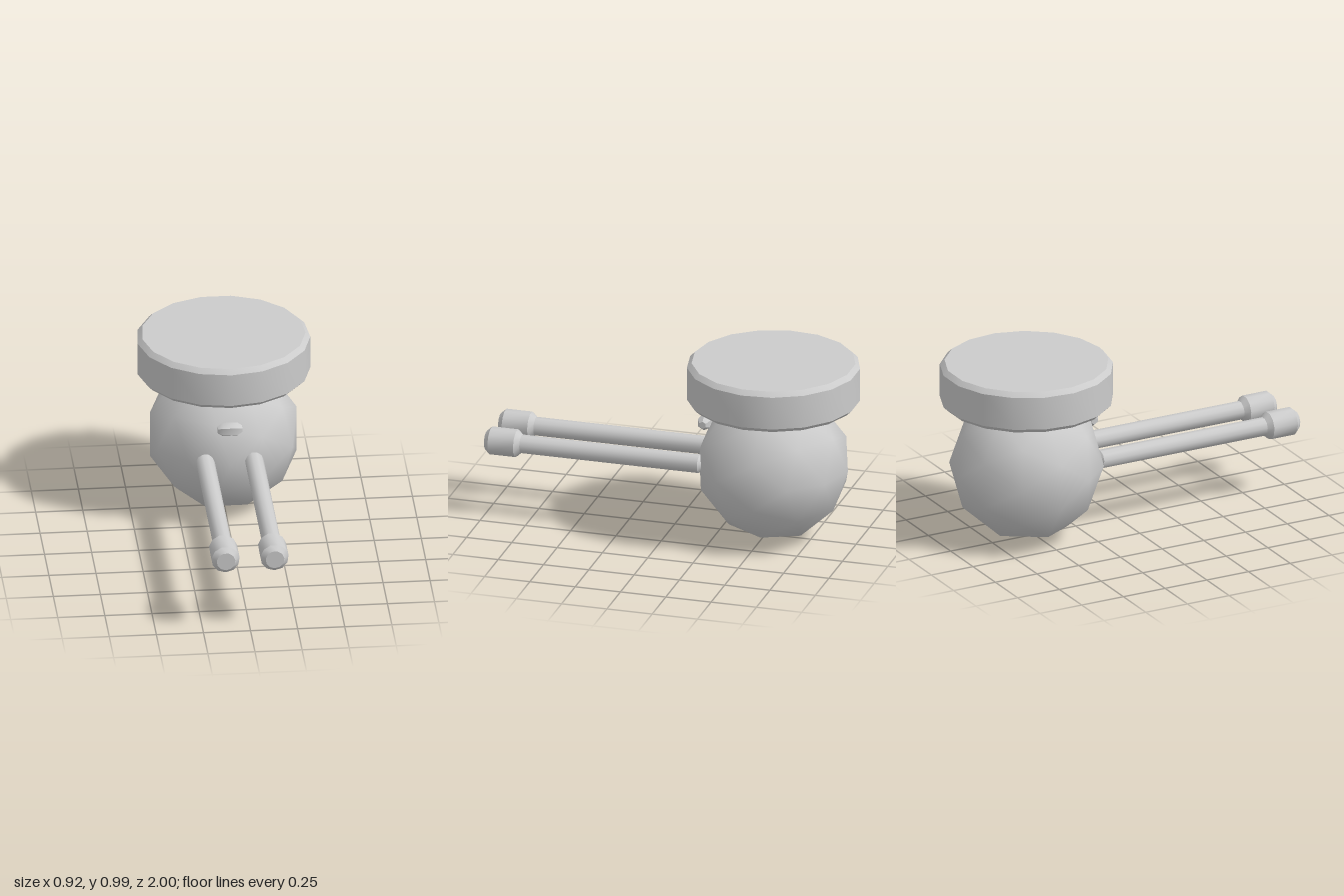
import * as THREE from 'three';
import { toCreasedNormals } from 'three/addons/utils/BufferGeometryUtils.js';

const material = new THREE.MeshStandardMaterial({ color: 0xcccccc });

// Closed turned solid about y from [radius, height] pairs, sharp at the bevels
function turned(profile, sides, phase = 0) {
  const points = profile.map(([r, h]) => new THREE.Vector2(r, h));
  return toCreasedNormals(new THREE.LatheGeometry(points, sides, phase), 0.68);
}

function addPart(group, name, geometry, x, y, z) {
  const mesh = new THREE.Mesh(geometry, material);
  mesh.name = name;
  mesh.position.set(x, y, z);
  group.add(mesh);
}

export function createModel() {
  const model = new THREE.Group();
  model.name = 'model';

  // Round head: smooth icosphere with one corner facing forward
  const ball = new THREE.IcosahedronGeometry(0.41, 1);
  ball.rotateX(Math.atan(2 / (1 + Math.sqrt(5))));
  ball.rotateZ(-Math.PI / 2);
  addPart(model, 'head', ball, 0, 0.41, -0.545);

  // Flat bevelled cap resting on the head
  const cap = turned([[0, 0.763], [0.435, 0.763], [0.46, 0.787], [0.46, 0.968], [0.435, 0.993], [0, 0.993]], 17);
  addPart(model, 'cap', cap, 0, 0, -0.545);

  // Small bevelled bar above the rods
  const bar = turned([[0, -0.065], [0.02, -0.065], [0.039, -0.038], [0.039, 0.038], [0.02, 0.065], [0, 0.065]], 6, Math.PI / 2);
  bar.rotateZ(Math.PI / 2);
  addPart(model, 'noseBar', bar, 0, 0.607, -0.172);

  // Two long rods reaching forward, each with a thicker tip
  for (const side of [1, -1]) {
    const rod = new THREE.Group();
    rod.name = side > 0 ? 'leftRod' : 'rightRod';
    const shaft = turned([[0, -0.195], [0.03, -0.195], [0.05, -0.175], [0.05, 0.82], [0, 0.82]], 11);
    const tip = turned([[0, 0.805], [0.05, 0.805], [0.075, 0.832], [0.075, 0.973], [0.05, 1], [0, 1]], 11);
    addPart(rod, 'shaft', shaft.rotateX(Math.PI / 2), 0, 0, 0);
    addPart(rod, 'tip', tip.rotateX(Math.PI / 2), 0, 0, 0);
    rod.position.set(side * 0.13, 0.413, 0);
    model.add(rod);
  }
  return model;
}
